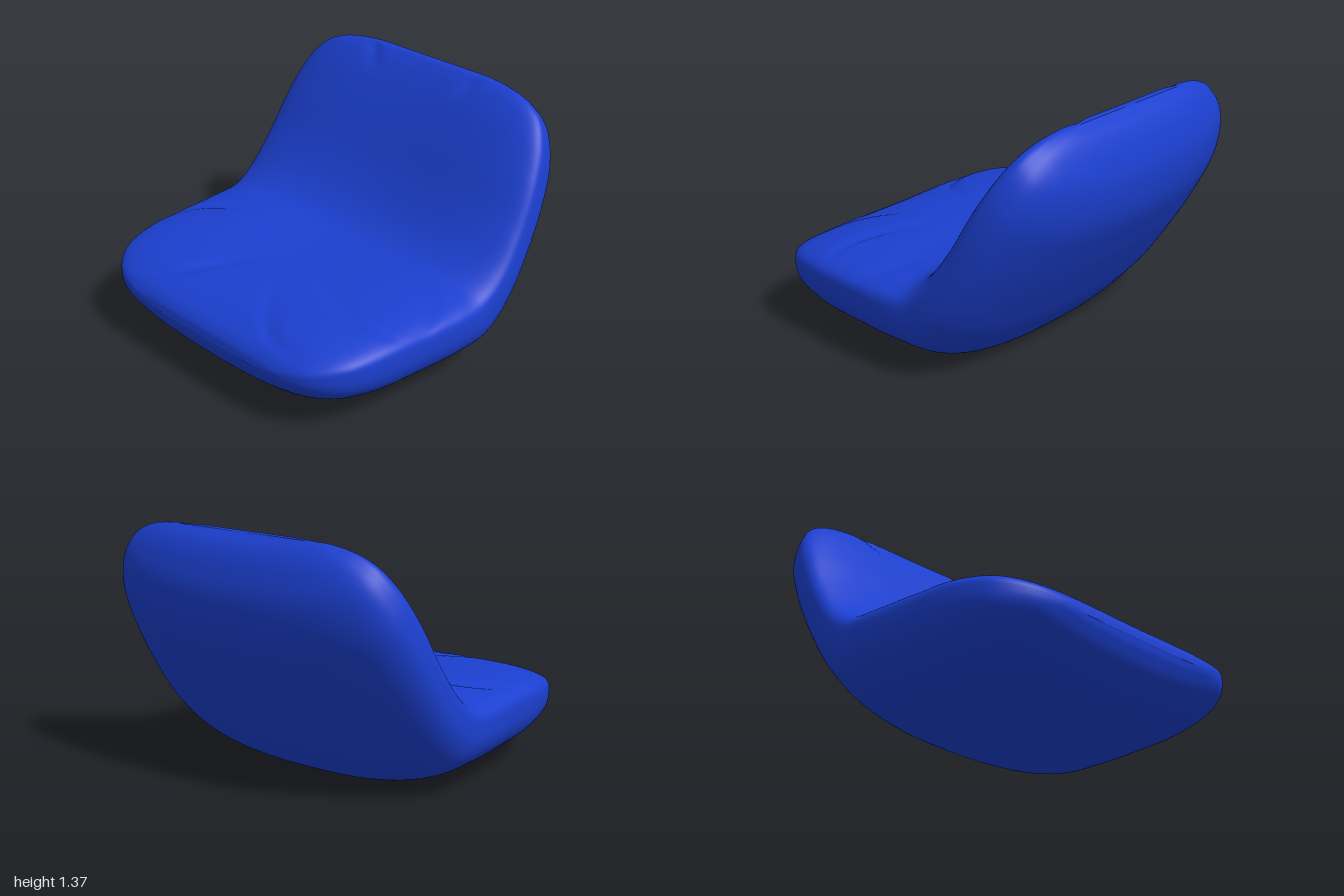
import * as THREE from 'three';
import { mergeVertices } from 'three/addons/utils/BufferGeometryUtils.js';

const STATIONS = 170, RING = 160;

// Stations from front edge, along the seat and up to the top of the backrest:
// upper z, upper y, lower z, lower y, half width
const PROFILE = [
  [0.96, 0.30, 0.96, 0.30, 0.40],
  [0.945, 0.355, 0.945, 0.24, 0.60],
  [0.89, 0.41, 0.89, 0.155, 0.76],
  [0.76, 0.47, 0.76, 0.065, 0.89],
  [0.56, 0.51, 0.53, 0.0, 0.955],
  [0.30, 0.52, 0.25, -0.02, 0.98],
  [0.05, 0.52, -0.05, -0.02, 1.0],
  [-0.12, 0.54, -0.30, 0.0, 1.0],
  [-0.24, 0.62, -0.48, 0.16, 1.0],
  [-0.38, 0.80, -0.66, 0.41, 0.985],
  [-0.52, 1.05, -0.82, 0.66, 0.955],
  [-0.63, 1.23, -0.92, 0.85, 0.90],
  [-0.70, 1.32, -0.955, 1.05, 0.82],
  [-0.745, 1.36, -0.93, 1.20, 0.70],
  [-0.775, 1.372, -0.88, 1.31, 0.55],
  [-0.81, 1.37, -0.81, 1.37, 0.40],
];

// Fabric folds drawn in plan as (x, z) arcs
const FOLDS = [
  [[-0.08, 0.28], [-0.28, 0.66], [-0.45, 0.81], [-0.68, 0.86]],
  [[0.13, 0.52], [0.30, 0.75], [0.45, 0.85], [0.65, 0.86]],
  [[0.20, 0.30], [0.50, 0.45], [0.75, 0.50], [0.95, 0.44]],
  [[0.60, 0.0], [0.82, 0.09], [0.94, 0.22], [0.97, 0.36]],
  [[-0.95, 0.42], [-0.86, 0.25], [-0.72, 0.13], [-0.52, 0.07]],
  [[-0.50, -0.82], [-0.40, -0.74], [-0.30, -0.64]],
  [[0.45, -0.82], [0.36, -0.74], [0.29, -0.66]],
].map((pts) => new THREE.CatmullRomCurve3(
  pts.map(([x, z]) => new THREE.Vector3(x, 0, z))).getPoints(40));

// Depth of the folds at a plan position, fading out at the ends of each arc
function foldDepth(x, z) {
  let depth = 0;
  for (const pts of FOLDS) {
    let best = Infinity, at = 0;
    pts.forEach((p, i) => {
      const d = (p.x - x) ** 2 + (p.z - z) ** 2;
      if (d < best) { best = d; at = i; }
    });
    const fade = Math.sin(Math.PI * at / (pts.length - 1));
    depth += 0.018 * fade * Math.exp(-best / 0.0011);
  }
  return depth;
}

function cushionGeometry() {
  const curve = (f) => new THREE.CatmullRomCurve3(PROFILE.map(f));
  const upper = curve((p) => new THREE.Vector3(p[4], p[1], p[0]));
  const lower = curve((p) => new THREE.Vector3(p[4], p[3], p[2]));
  const positions = [], index = [];

  for (let i = 0; i <= STATIONS; i++) {
    const s = i / STATIONS;
    // stations gather towards both rounded ends
    const t = 0.5 * s + 0.25 * (1 - Math.cos(Math.PI * s));
    const top = upper.getPoint(t), bottom = lower.getPoint(t);
    const width = top.x;
    const mid = bottom.clone().lerp(top, 0.72 - 0.1 * t);
    const thick = top.distanceTo(bottom);
    const inward = bottom.clone().sub(top).normalize();
    const ends = Math.min(1, thick / 0.3);

    for (let j = 0; j < RING; j++) {
      // flat-topped, round-bellied cross-section
      const a = (j / RING) * Math.PI * 2;
      const c = Math.cos(a), sn = Math.sin(a);
      const n = sn >= 0 ? 3.8 : 2.4;
      const r = 1 / (Math.abs(c) ** n + Math.abs(sn) ** n) ** (1 / n);
      const u = r * c, v = Math.abs(r * sn);
      const p = mid.clone().lerp(sn >= 0 ? top : bottom, v);
      p.x = width * u;
      if (sn > 0) {
        // shallow sitting hollow and folds press into the upper face
        const hollow = Math.abs(u) < 0.85 ? 0.025 * Math.cos(u / 0.85 * Math.PI / 2) ** 2 : 0;
        const seat = Math.sin(Math.PI * t);
        const press = hollow * seat * ends + foldDepth(p.x, p.z) * ends * v;
        p.y += inward.y * press;
        p.z += inward.z * press;
      }
      positions.push(p.x, Math.max(0, p.y), p.z);
    }
  }

  for (let i = 0; i < STATIONS; i++) {
    for (let j = 0; j < RING; j++) {
      const k = (j + 1) % RING;
      const a = i * RING + j, b = a + RING, d = i * RING + k, e = d + RING;
      index.push(a, b, d, b, e, d);
    }
  }

  let geo = new THREE.BufferGeometry();
  geo.setAttribute('position', new THREE.Float32BufferAttribute(positions, 3));
  geo.setIndex(index);
  geo = mergeVertices(geo, 1e-4);
  geo.computeVertexNormals();
  return geo;
}

export function createModel() {
  const group = new THREE.Group();
  group.name = 'beanbagChair';
  const cushion = new THREE.Mesh(
    cushionGeometry(),
    new THREE.MeshStandardMaterial({ color: 0x1b3fcf }));
  cushion.name = 'seatAndBackCushion';
  group.add(cushion);
  return group;
}
